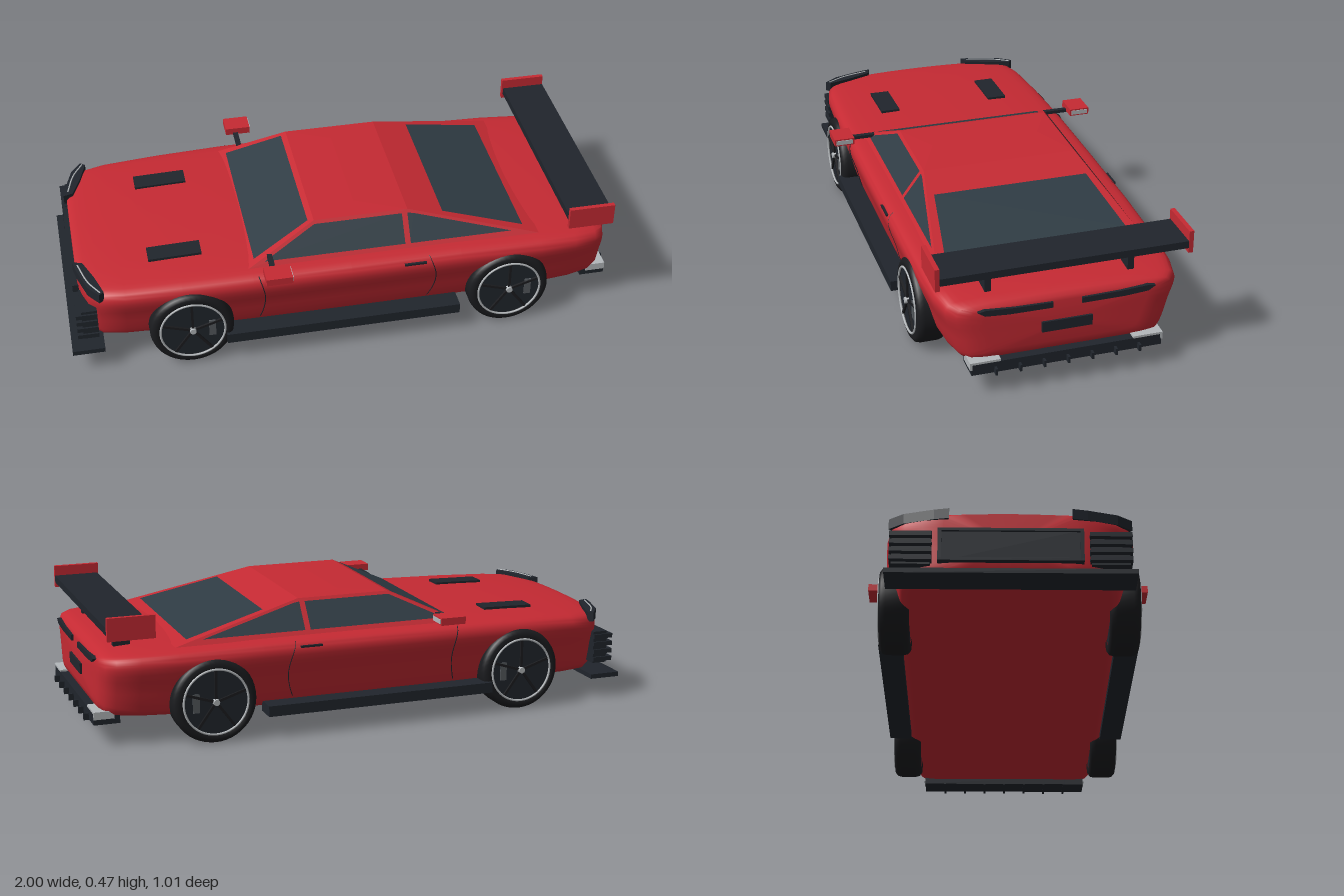
import * as THREE from 'three';
import { toCreasedNormals } from 'three/addons/utils/BufferGeometryUtils.js';
import { ConvexGeometry } from 'three/addons/geometries/ConvexGeometry.js';

const mat = (color, extra = {}) => {
  const m = new THREE.MeshStandardMaterial(extra);
  m.color.set(color);
  return m;
};
const red = mat(0xc62a33), dark = mat(0x20252c), tyreMat = mat(0x1b1c1f), silver = mat(0xb4b8bb);
const glass = mat(0x2f3c44, { side: THREE.DoubleSide });
const V = (x, y, z) => new THREE.Vector3(x, y, z);

// Half cross-section of the shell: width and height as fractions, floor to roof line
const halfSection = new THREE.CatmullRomCurve3([
  [0, 0], [0.5, 0], [0.8, 0.01], [0.87, 0.07], [0.905, 0.2], [0.95, 0.48], [1, 0.76],
  [0.99, 0.87], [0.95, 0.935], [0.8, 0.97], [0.4, 0.993], [0, 1],
].map(([w, h]) => V(0, h, w)), false, 'centripetal').getPoints(33);

// Stations along the car: x, half width, bottom, top
const stations = [
  [-0.957, 0.001, 0.2, 0.202], [-0.955, 0.22, 0.12, 0.315], [-0.945, 0.285, 0.105, 0.32],
  [-0.925, 0.345, 0.097, 0.323], [-0.885, 0.39, 0.092, 0.327], [-0.8, 0.408, 0.09, 0.333],
  [-0.6, 0.42, 0.09, 0.34], [-0.35, 0.428, 0.09, 0.345], [0, 0.43, 0.09, 0.347],
  [0.4, 0.43, 0.09, 0.347], [0.7, 0.425, 0.09, 0.341], [0.83, 0.415, 0.095, 0.337],
  [0.91, 0.397, 0.102, 0.332], [0.945, 0.37, 0.112, 0.325], [0.96, 0.325, 0.13, 0.315],
  [0.964, 0.28, 0.15, 0.3], [0.966, 0.001, 0.22, 0.222],
];

function shellGeometry() {
  const loop = [...halfSection, ...halfSection.slice(1, -1).reverse().map(p => V(0, p.y, -p.z))];
  const n = loop.length, pos = [], idx = [];
  stations.forEach(([x, w, b, t]) => loop.forEach(p => pos.push(x, b + p.y * (t - b), p.z * w)));
  for (let i = 0; i < stations.length - 1; i++) {
    for (let j = 0; j < n; j++) {
      const k = (j + 1) % n, a = i * n + j, c = i * n + k;
      idx.push(a, a + n, c, c, a + n, c + n);
    }
  }
  const g = new THREE.BufferGeometry();
  g.setAttribute('position', new THREE.Float32BufferAttribute(pos, 3));
  g.setIndex(idx);
  return toCreasedNormals(g, 0.75);
}

// Flat polygon from corner points
function polygon(points) {
  const g = new THREE.BufferGeometry().setFromPoints(points);
  const idx = [];
  for (let i = 1; i < points.length - 1; i++) idx.push(0, i, i + 1);
  g.setIndex(idx);
  g.computeVertexNormals();
  return g;
}

const extrude = (pts, depth) => new THREE.ExtrudeGeometry(
  new THREE.Shape(pts.map(([a, b]) => new THREE.Vector2(a, b))), { depth, bevelEnabled: false });

const tube = (pts, r) => new THREE.TubeGeometry(new THREE.CatmullRomCurve3(pts), 20, r, 5);

export function createModel() {
  const car = new THREE.Group();
  const add = (name, geo, m, parent = car) => {
    const mesh = new THREE.Mesh(geo, m);
    mesh.name = name;
    parent.add(mesh);
    return mesh;
  };
  // Box given by its extents
  const box = (name, m, x0, x1, y0, y1, z0, z1, parent = car) => {
    const mesh = add(name, new THREE.BoxGeometry(x1 - x0, y1 - y0, Math.abs(z1 - z0)), m, parent);
    mesh.position.set((x0 + x1) / 2, (y0 + y1) / 2, (z0 + z1) / 2);
    return mesh;
  };

  add('bodyShell', shellGeometry(), red);

  // Cabin: a tapered block with glass laid on its faces
  const y0 = 0.335, h = 0.115, e = 0.002;
  const cabin = [];
  for (const s of [1, -1]) {
    cabin.push(V(-0.36, y0, 0.367 * s), V(0.7, y0, 0.367 * s), V(-0.11, y0 + h, 0.282 * s),
      V(0.23, y0 + h, 0.282 * s), V(0.05, y0 + h + 0.004, 0.2 * s));
  }
  add('cabin', new ConvexGeometry(cabin), red);
  const frontY = x => y0 + h * (x + 0.36) / 0.25 + e;
  const rearY = x => y0 + h * (0.7 - x) / 0.47 + e;
  add('windscreen', polygon([V(-0.335, frontY(-0.335), 0.33), V(-0.13, frontY(-0.13), 0.268),
    V(-0.13, frontY(-0.13), -0.268), V(-0.335, frontY(-0.335), -0.33)]), glass);
  add('rearWindow', polygon([V(0.36, rearY(0.36), 0.28), V(0.65, rearY(0.65), 0.325),
    V(0.65, rearY(0.65), -0.325), V(0.36, rearY(0.36), -0.28)]), glass);

  for (const s of [1, -1]) {
    // Side windows
    const onSide = (x, y) => V(x, y, s * (0.367 - 0.085 * (y - y0) / h + e));
    add('frontSideWindow', polygon([onSide(-0.3, 0.352), onSide(-0.11, 0.44),
      onSide(0.208, 0.44), onSide(0.208, 0.352)]), glass);
    add('rearSideWindow', polygon([onSide(0.228, 0.352), onSide(0.228, 0.44),
      onSide(0.25, 0.437), onSide(0.6, 0.352)]), glass);

    // Door seams follow the flank
    for (const [x, lean] of [[-0.34, 0.03], [0.27, 0.04]]) {
      const pts = halfSection.filter(p => p.y > 0.12 && p.y < 0.95 && p.z > 0.85)
        .map(p => V(x + lean * Math.sin(p.y * 3), 0.09 + p.y * 0.256, s * p.z * 0.4295));
      add('doorSeam', tube(pts, 0.0018), dark);
    }
    box('doorHandle', dark, 0.19, 0.27, 0.31, 0.317, s * 0.42, s * 0.432);
    box('sideSkirt', dark, -0.455, 0.395, 0.08, 0.118, s * 0.37, s * 0.452);

    // Mirror
    box('mirrorArm', dark, -0.29, -0.272, 0.358, 0.37, s * 0.34, s * 0.44);
    box('mirrorHousing', red, -0.318, -0.225, 0.362, 0.388, s * 0.43, s * 0.505);
    box('mirrorGlass', silver, -0.226, -0.222, 0.367, 0.383, s * 0.436, s * 0.499);

    // Bonnet vent
    box('bonnetVent', dark, -0.7, -0.51, 0.332, 0.345, s * 0.183, s * 0.255).rotation.z = 0.025;

    // Headlight wedge with a bright strip
    const lamp = extrude([[-0.965, 0.2], [-0.955, 0.25], [-0.925, 0.35], [-0.888, 0.4],
      [-0.87, 0.385], [-0.895, 0.3], [-0.93, 0.21]].map(([x, z]) => [x, z * s]), 0.036);
    lamp.rotateX(Math.PI / 2).translate(0, 0.33, 0);
    add('headlight', lamp, dark);
    add('headlightStrip', tube([V(-0.948, 0.33, s * 0.22), V(-0.92, 0.33, s * 0.32),
      V(-0.882, 0.33, s * 0.388)], 0.003), silver);

    // Slatted corner intake
    box('cornerIntake', dark, -0.955, -0.9, 0.13, 0.25, s * 0.26, s * 0.385);
    for (let i = 0; i < 4; i++) {
      box('intakeSlat', dark, -0.975, -0.9, 0.137 + i * 0.029, 0.153 + i * 0.029, s * 0.255, s * 0.392);
    }

    // Tail light, thin and swept upward
    const tail = extrude([[0.05, 0.282], [0.2, 0.283], [0.28, 0.289], [0.305, 0.305],
      [0.28, 0.31], [0.18, 0.304], [0.05, 0.302]].map(([z, y]) => [z * s, y]), 0.03);
    tail.rotateY(-Math.PI / 2).translate(0.972, 0, 0);
    add('tailLight', tail, dark);

    // Bright rear corner trim
    box('rearTrim', silver, 0.91, 0.982, 0.117, 0.125, s * 0.23, s * 0.332);
    box('rearTrimEnd', silver, 0.91, 0.982, 0.098, 0.125, s * 0.326, s * 0.335);

    // Wing support and end plate
    box('wingStrut', dark, 0.83, 0.89, 0.32, 0.415, s * 0.236, s * 0.258);
    box('wingEndPlate', red, 0.785, 0.95, 0.395, 0.475, s * 0.424, s * 0.44);

    for (const x of [-0.575, 0.58]) addWheel(x, s);
  }

  // Nose
  box('frontSplitter', dark, -1, -0.885, 0.075, 0.092, -0.405, 0.405);
  box('grille', dark, -0.966, -0.93, 0.135, 0.25, -0.225, 0.225);
  for (const y of [0.135, 0.243]) box('grilleFrame', dark, -0.974, -0.94, y, y + 0.01, -0.235, 0.235);
  for (const z of [-0.23, 0.23]) box('grilleFrameSide', dark, -0.974, -0.93, 0.135, 0.253, z - 0.006, z + 0.006);

  // Tail
  box('rearPlate', dark, 0.95, 0.973, 0.194, 0.232, -0.087, 0.087);
  box('diffuser', dark, 0.89, 0.982, 0.078, 0.118, -0.33, 0.33);
  for (let i = -3; i <= 3; i++) {
    box('diffuserFin', dark, 0.89, 1, 0.076, 0.1, i * 0.083 - 0.004, i * 0.083 + 0.004);
  }
  box('rearWing', dark, 0.79, 0.95, 0.413, 0.439, -0.425, 0.425);

  // Wheel: lathed tyre, bright rim ring, dark disc with spokes, caliper and hub
  function addWheel(x, s) {
    const wheel = new THREE.Group();
    wheel.name = 'wheel';
    const profile = [[0.11, -0.05], [0.135, -0.052], [0.146, -0.043], [0.15, -0.028], [0.15, 0.028],
      [0.146, 0.043], [0.135, 0.052], [0.115, 0.052], [0.112, 0.04]];
    const tyre = new THREE.LatheGeometry(profile.map(([r, y]) => new THREE.Vector2(r, y)), 48);
    add('tyre', tyre.rotateX(Math.PI / 2), tyreMat, wheel);
    add('rimRing', new THREE.TorusGeometry(0.115, 0.004, 8, 48), silver, wheel).position.z = 0.053;
    const disc = new THREE.CylinderGeometry(0.113, 0.113, 0.095, 40).rotateX(Math.PI / 2);
    add('wheelDisc', disc, dark, wheel);
    for (let i = 0; i < 5; i++) {
      const spoke = new THREE.BoxGeometry(0.009, 0.105, 0.008).translate(0, 0.058, 0.051);
      add('spoke', spoke.rotateZ(i * Math.PI * 0.4), tyreMat, wheel);
    }
    const caliper = new THREE.BoxGeometry(0.024, 0.066, 0.006).translate(0.07 * s, 0, 0.049);
    add('caliper', caliper, mat(0x555a5e), wheel);
    const hub = new THREE.CylinderGeometry(0.011, 0.013, 0.016, 16).rotateX(Math.PI / 2);
    add('hub', hub, silver, wheel).position.z = 0.054;
    wheel.position.set(x, 0.15, s * 0.387);
    if (s < 0) wheel.rotation.y = Math.PI;
    car.add(wheel);
  }

  return car;
}
